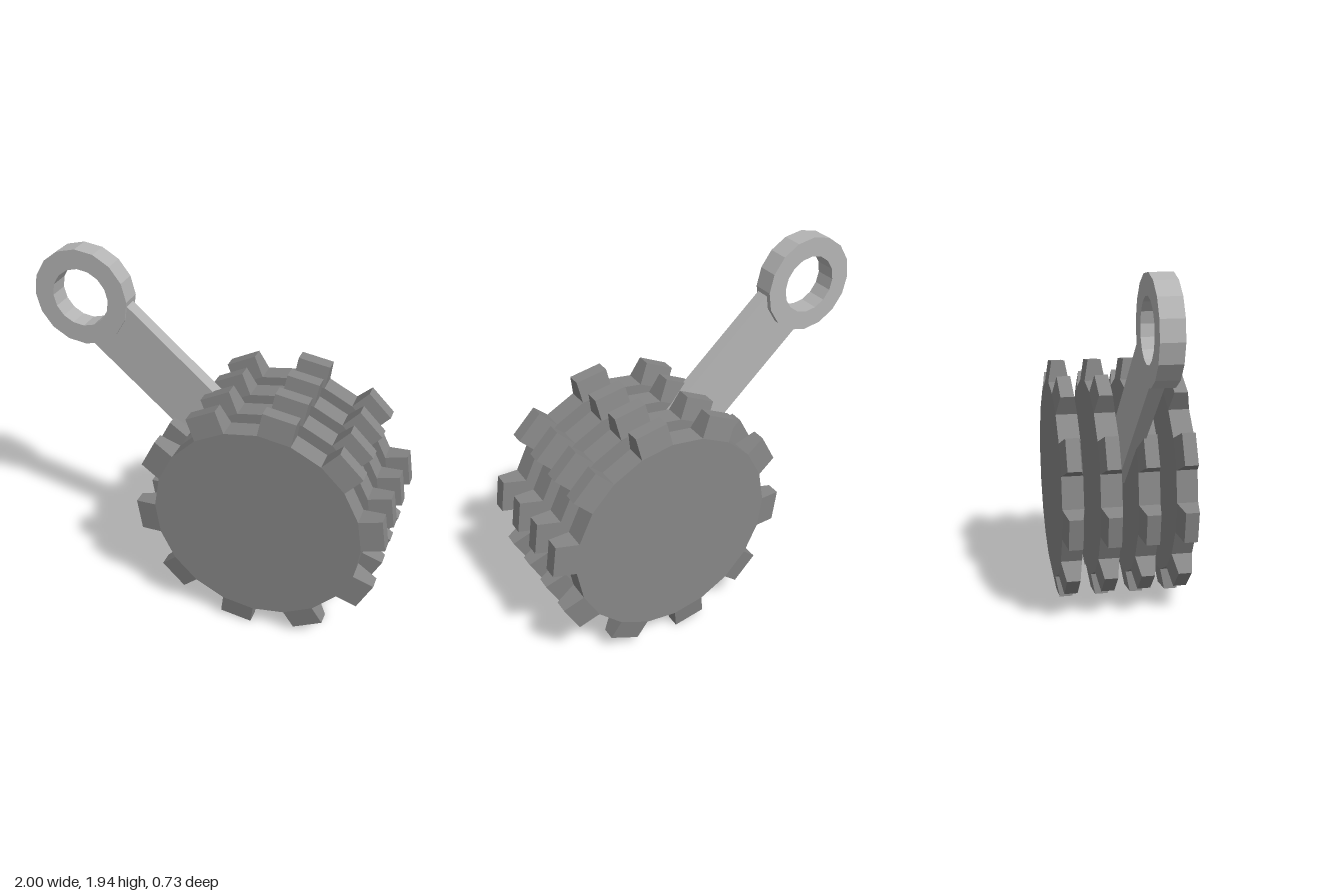
import * as THREE from 'three';

const darkGrey = new THREE.MeshStandardMaterial({ color: 0x868686, flatShading: true });
const lightGrey = new THREE.MeshStandardMaterial({ color: 0xb4b4b4, flatShading: true });

const WHEEL = { x: 0.324, y: 0.678, radius: 0.56, tip: 0.671, depth: 0.115, tipDepth: 0.073, teeth: 10 };
const toothWidth = 2 * WHEEL.radius * Math.sin(Math.PI / (2 * WHEEL.teeth));

function addMesh(parent, geometry, material, name) {
  const mesh = new THREE.Mesh(geometry, material);
  mesh.name = name;
  parent.add(mesh);
  return mesh;
}

// Tooth along +x, standing on one flat of the wheel and thinning towards its tip
function toothGeometry() {
  const base = WHEEL.radius * Math.cos(Math.PI / (2 * WHEEL.teeth));
  const height = WHEEL.tip - base;
  const geometry = new THREE.BoxGeometry(height, toothWidth, WHEEL.depth);
  const p = geometry.attributes.position;
  for (let i = 0; i < p.count; i++) {
    if (p.getX(i) > 0) p.setZ(i, Math.sign(p.getZ(i)) * WHEEL.tipDepth / 2);
  }
  geometry.translate(base + height / 2, 0, 0);
  geometry.computeVertexNormals();
  return geometry;
}

function regularPolygon(radius, sides, turn) {
  return Array.from({ length: sides }, (_, i) => {
    const a = turn + (i / sides) * Math.PI * 2;
    return new THREE.Vector2(radius * Math.cos(a), radius * Math.sin(a));
  });
}

export function createModel() {
  const model = new THREE.Group();
  model.name = 'toothedRoller';

  // Four identical toothed wheels in a row
  const disc = new THREE.CylinderGeometry(WHEEL.radius, WHEEL.radius, WHEEL.depth, WHEEL.teeth * 2);
  disc.rotateX(Math.PI / 2);
  const tooth = toothGeometry();
  [0.305, 0.101, -0.101, -0.305].forEach((z, n) => {
    const wheel = new THREE.Group();
    wheel.name = `wheel${n + 1}`;
    wheel.position.set(WHEEL.x, WHEEL.y, z);
    addMesh(wheel, disc, darkGrey, 'wheelDisc');
    for (let i = 0; i < WHEEL.teeth; i++) {
      addMesh(wheel, tooth, darkGrey, 'tooth').rotation.z = ((i + 0.25) / WHEEL.teeth) * Math.PI * 2;
    }
    model.add(wheel);
  });

  // Flat arm running from between the wheels to the ring
  const arm = addMesh(model, new THREE.BoxGeometry(1.17, 0.315, 0.075), lightGrey, 'arm');
  arm.position.set(-0.15, 1.171, 0.04);
  arm.rotation.z = -0.715;

  // Ring handle
  const turn = THREE.MathUtils.degToRad(3);
  const outline = new THREE.Shape(regularPolygon(0.262, 16, turn));
  outline.holes.push(new THREE.Path(regularPolygon(0.157, 16, turn)));
  const ringGeometry = new THREE.ExtrudeGeometry(outline, { depth: 0.115, bevelEnabled: false });
  const ring = addMesh(model, ringGeometry, lightGrey, 'ringHandle');
  ring.position.set(-0.738, 1.68, -0.026);

  return model;
}
